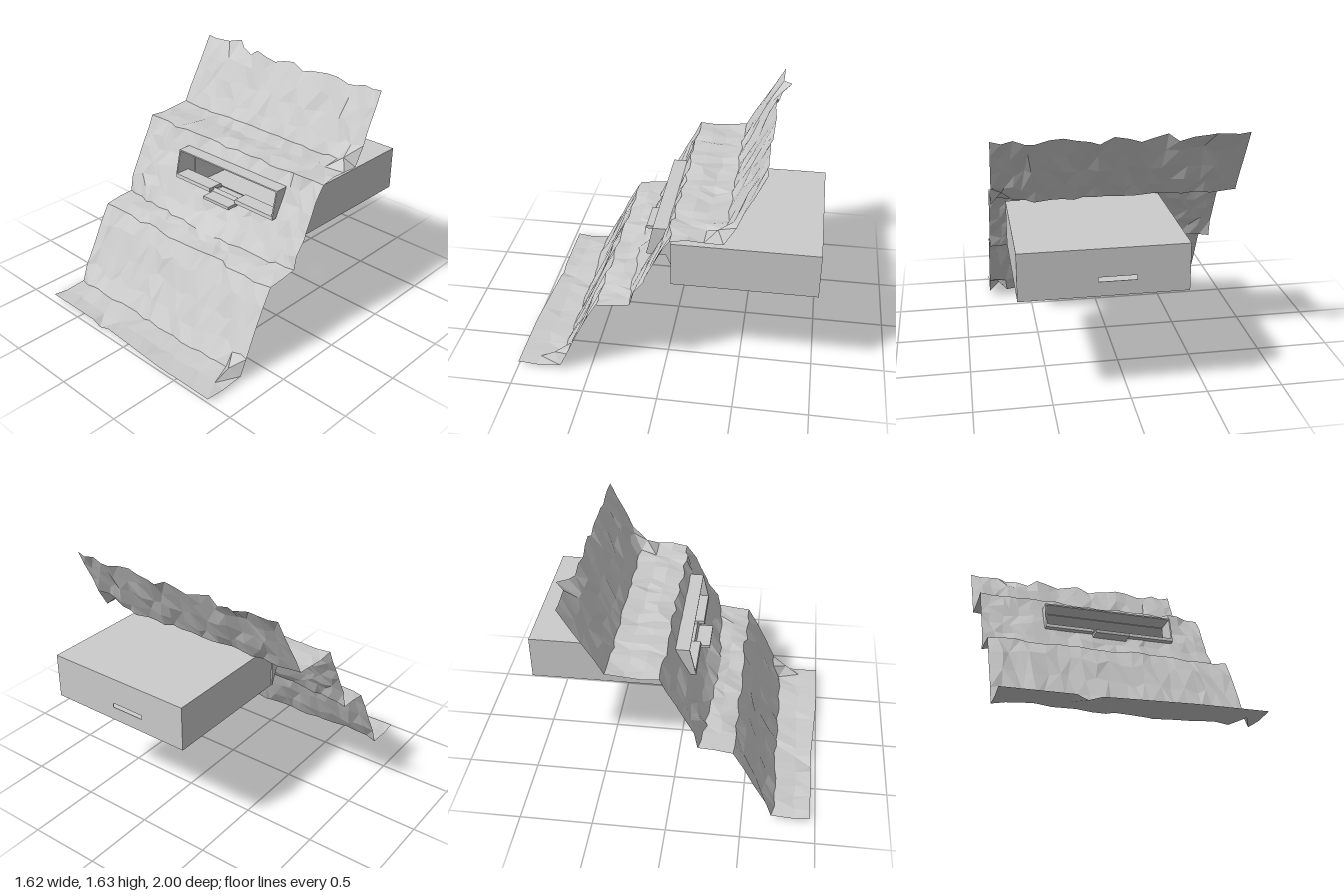
import * as THREE from 'three';

const rock = new THREE.MeshStandardMaterial({ color: 0xcccccc, flatShading: true, side: THREE.DoubleSide });

function add(parent, name, geometry) {
  const mesh = new THREE.Mesh(geometry, rock);
  mesh.name = name;
  parent.add(mesh);
  return mesh;
}

// box given by its two extreme corners
function block(parent, name, [x0, y0, z0], [x1, y1, z1]) {
  const g = new THREE.BoxGeometry(x1 - x0, y1 - y0, z1 - z0);
  g.translate((x0 + x1) / 2, (y0 + y1) / 2, (z0 + z1) / 2);
  return add(parent, name, g);
}

// (z, y) outline extruded from x0 to x1
function slab(parent, name, outline, x0, x1) {
  const shape = new THREE.Shape(outline.map(([z, y]) => new THREE.Vector2(z, y)));
  const g = new THREE.ExtrudeGeometry(shape, { depth: x1 - x0, bevelEnabled: false });
  g.rotateY(-Math.PI / 2);
  g.translate(x1, 0, 0);
  return add(parent, name, g);
}

function seeded(seed) {
  return () => {
    seed = (seed * 16807) % 2147483647;
    return seed / 2147483647;
  };
}

// Terraced cliff: a stepped (z, y) section swept across uneven columns
function cliffGeometry() {
  const section = [
    [0.98, 0.03], [0.85, 0.025], [0.71, 0.035], [0.64, 0.16], [0.57, 0.3], [0.5, 0.46],
    [0.43, 0.58], [0.32, 0.595], [0.22, 0.61], [0.175, 0.7], [0.13, 0.78], [0.085, 0.87],
    [0.04, 0.955], [0, 1.04], [-0.05, 1.14], [-0.16, 1.145], [-0.27, 1.14], [-0.39, 1.15],
    [-0.45, 1.25], [-0.52, 1.38], [-0.58, 1.5], [-0.64, 1.61]];
  const xs = [-0.81, -0.74, -0.66, -0.6, -0.53, -0.45, -0.36, -0.29, -0.2, -0.12, -0.04,
    0.05, 0.14, 0.2, 0.28, 0.36, 0.45, 0.54, 0.6, 0.67, 0.74, 0.81];
  const crest = [1.62, 1.61, 1.615, 1.62, 1.63, 1.605, 1.575, 1.625, 1.6, 1.58, 1.605,
    1.62, 1.575, 1.595, 1.605, 1.62, 1.615, 1.59, 1.595, 1.62, 1.605, 1.62];
  const rand = seeded(4711);
  const jitter = (a) => (rand() * 2 - 1) * a;
  const last = section.length - 1, cols = xs.length;
  const inHole = (r, c, e) => r >= 11 && r < 13 + e && c >= 6 && c < 17 + e;
  const pos = [], index = [];

  section.forEach(([z0, y0], r) => xs.forEach((x0, c) => {
    let x = x0, y = y0, z = z0;
    const flat = r < 3 || (r >= 6 && r <= 8) || (r >= 14 && r <= 17);
    if (r === 0) {
      z = THREE.MathUtils.mapLinear(THREE.MathUtils.clamp(x, -0.2, 0.35), -0.2, 0.35, 0.965, 1);
    } else if (r === last) {
      y = crest[c];
      z = c === 4 ? -0.72 : x < -0.4 ? -0.66 : -0.635 + jitter(0.008);
    } else if (!inHole(r, c, 1)) {
      if (c > 0 && c < cols - 1) x += jitter(0.022);
      y += jitter(flat ? 0.011 : 0.025);
      z += jitter(flat ? 0.014 : 0.012) - (flat ? 0 : (y - y0) * 0.5);
      if (r === 8) z += 0.04 * Math.cos(x * 2.5);
      // small loose outcrops at the foot of two slopes
      if (c === 20 && (r === 2 || r === 17)) { y += 0.06; z += 0.03; }
    }
    pos.push(x, Math.max(y, 0.005), z);
  }));
  pos[7 * 3 + 1] = 0;

  for (let r = 0; r < last; r++) {
    for (let c = 0; c < cols - 1; c++) {
      if (inHole(r, c, 0)) continue; // opening for the embrasure
      const a = r * cols + c, b = a + 1, d = a + cols, e = d + 1;
      if (rand() < 0.5) index.push(a, b, e, a, e, d);
      else index.push(a, b, d, b, e, d);
    }
  }
  const g = new THREE.BufferGeometry();
  g.setAttribute('position', new THREE.Float32BufferAttribute(pos, 3));
  g.setIndex(index);
  g.computeVertexNormals();
  return g;
}

// Hollow chamber buried behind the cliff, with a slot in its rear wall
function addChamber(parent) {
  const x0 = -0.36, x1 = 0.7, y0 = 0.73, y1 = 1.04, z0 = -1, z1 = -0.05, t = 0.004;
  block(parent, 'chamberFloor', [x0, y0, z0], [x1, y0 + t, z1]);
  block(parent, 'chamberRoof', [x0, y1 - t, z0], [x1, y1, z1]);
  block(parent, 'chamberRightWall', [x0, y0, z0], [x0 + t, y1, z1]);
  block(parent, 'chamberLeftWall', [x1 - t, y0, z0], [x1, y1, z1]);
  block(parent, 'chamberFrontWall', [0.55, y0, z1 - t], [x1, y1, z1]);

  const path = (Type, l, r, b, h) => new Type([[l, b], [r, b], [r, h], [l, h]]
    .map(([x, y]) => new THREE.Vector2(x, y)));
  const back = path(THREE.Shape, x0, x1, y0, y1);
  back.holes.push(path(THREE.Path, -0.03, 0.21, 0.825, 0.855));
  const g = new THREE.ExtrudeGeometry(back, { depth: t, bevelEnabled: false });
  g.translate(0, 0, z0);
  add(parent, 'chamberRearWall', g);
}

// Embrasure: a wide window frame with a notched sill and a projecting step
function addEmbrasure(parent) {
  const x0 = -0.37, x1 = 0.55, notch = [-0.03, 0.21], t = 0.01;
  const cheek = [[0.09, 1.05], [0.13, 0.87], [0.02, 0.87], [0, 0.85], [-0.05, 0.73], [-0.05, 1.05]];
  slab(parent, 'embrasureRightCheek', cheek, x0, x0 + t);
  slab(parent, 'embrasureLeftCheek', cheek, x1 - t, x1);
  block(parent, 'embrasureRoof', [x0, 1.04, -0.05], [x1, 1.05, 0.09]);

  const sill = [[0.13, 0.875], [0.02, 0.875], [0, 0.85], [0.135, 0.85]];
  slab(parent, 'rightSill', sill, x0, notch[0]);
  slab(parent, 'leftSill', sill, notch[1], x1);
  slab(parent, 'parapet', [[0, 0.85], [-0.05, 0.73], [-0.045, 0.73], [0.005, 0.85]], x0 + t, x1);
  block(parent, 'step', [notch[0], 0.82, -0.01], [notch[1], 0.842, 0.195]);
}

export function createModel() {
  const model = new THREE.Group();
  model.name = 'cliffBunker';
  add(model, 'cliff', cliffGeometry());

  const bunker = new THREE.Group();
  bunker.name = 'bunker';
  addChamber(bunker);
  addEmbrasure(bunker);
  model.add(bunker);
  return model;
}
